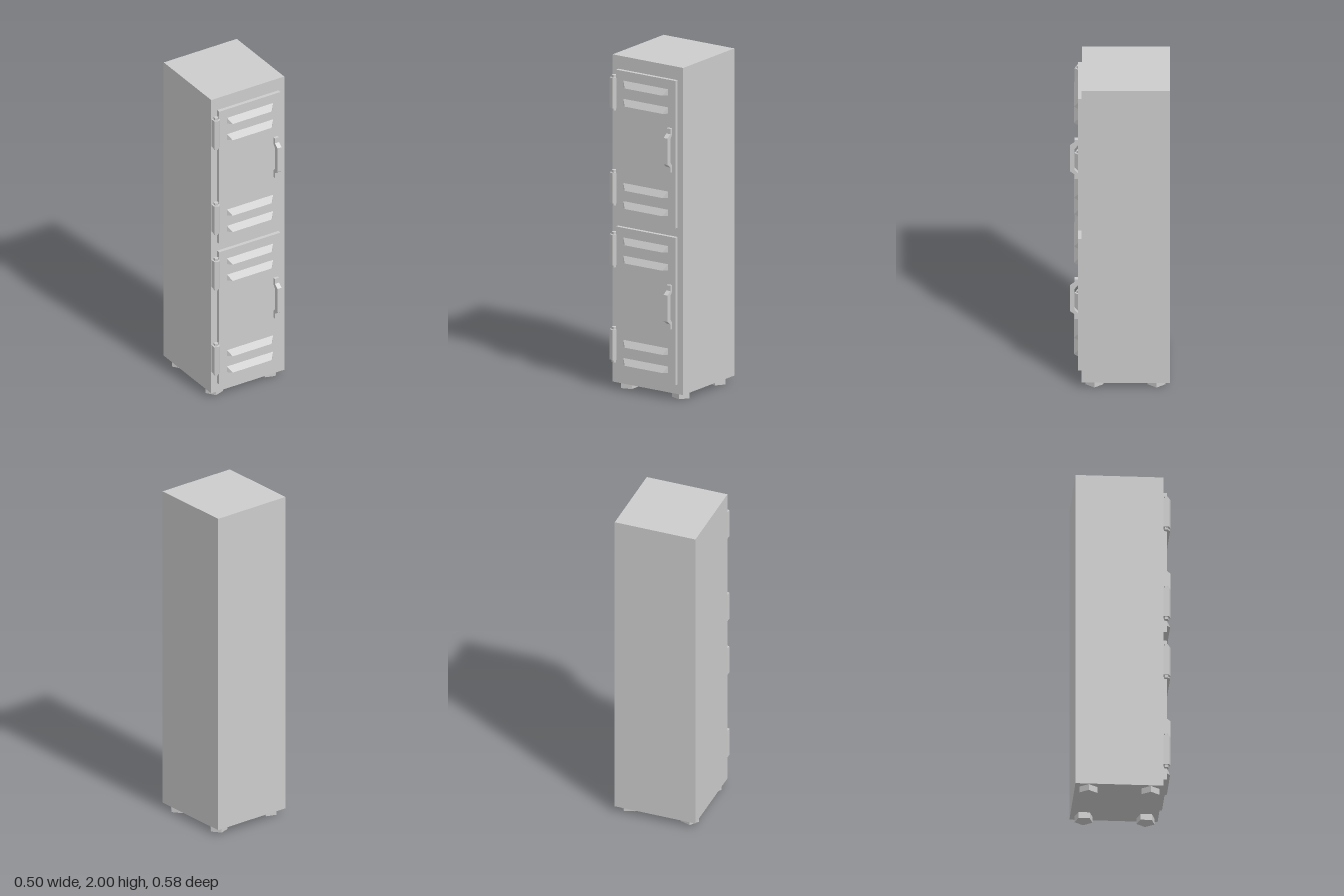
import * as THREE from 'three';
import { ConvexGeometry } from 'three/addons/geometries/ConvexGeometry.js';

const material = new THREE.MeshStandardMaterial({ color: 0xcccccc, flatShading: true });
const DOOR_FRONT = 0.243;

function addMesh(parent, name, geometry, x = 0, y = 0, z = 0) {
  const mesh = new THREE.Mesh(geometry, material);
  mesh.name = name;
  mesh.position.set(x, y, z);
  parent.add(mesh);
  return mesh;
}

// Wedge that leans out from the door towards its lower edge
function louverGeometry() {
  const points = [];
  for (const s of [-1, 1]) {
    points.push(
      new THREE.Vector3(s * 0.158, 0.019, 0),
      new THREE.Vector3(s * 0.158, -0.019, 0),
      new THREE.Vector3(s * 0.133, -0.019, 0.023)
    );
  }
  return new ConvexGeometry(points);
}

// Bent pull handle: side profile (depth, height) extruded across its width
function handleGeometry() {
  const upper = [[0, 0.132], [0.019, 0.132], [0.019, 0.1], [0.046, 0.079]];
  const inner = [[0.019, 0.068], [0, 0.093]];
  const flip = (list) => list.map(([z, y]) => [z, -y]).reverse();
  const outline = [...upper, ...flip(upper), ...flip(inner), ...inner];
  const shape = new THREE.Shape(outline.map(([z, y]) => new THREE.Vector2(z, y)));
  const geometry = new THREE.ExtrudeGeometry(shape, { depth: 0.028, bevelEnabled: false });
  return geometry.rotateY(-Math.PI / 2).translate(0.014, 0, 0);
}

// Five-sided hinge barrel with a thinner pin showing at both ends
function createHinge() {
  const hinge = new THREE.Group();
  hinge.name = 'hinge';
  const turn = THREE.MathUtils.degToRad(15);
  addMesh(hinge, 'hingeBarrel', new THREE.CylinderGeometry(0.026, 0.026, 0.182, 5, 1, false, turn));
  addMesh(hinge, 'hingePin', new THREE.CylinderGeometry(0.0145, 0.0145, 0.212, 5, 1, false, turn));
  return hinge;
}

// Door with louvers, handle and hinges, centred on its own height
function createDoor(name) {
  const door = new THREE.Group();
  door.name = name;
  addMesh(door, 'doorPanel', new THREE.BoxGeometry(0.42, 0.885, 0.043), 0, 0, DOOR_FRONT - 0.0215);
  for (const y of [0.366, 0.257, -0.248, -0.357]) {
    addMesh(door, 'louver', louverGeometry(), 0.001, y, DOOR_FRONT);
  }
  addMesh(door, 'handle', handleGeometry(), 0.174, 0.024, DOOR_FRONT);
  for (const y of [0.302, -0.268]) {
    const hinge = createHinge();
    hinge.position.set(-0.227, y, 0.237);
    door.add(hinge);
  }
  return door;
}

export function createModel() {
  const locker = new THREE.Group();
  locker.name = 'locker';

  // Cabinet
  addMesh(locker, 'cabinet', new THREE.BoxGeometry(0.5, 1.963, 0.51), 0, 1.0185, -0.035);

  // Two identical doors
  const upperDoor = createDoor('upperDoor');
  upperDoor.position.y = 1.478;
  const lowerDoor = createDoor('lowerDoor');
  lowerDoor.position.y = 0.537;
  locker.add(upperDoor, lowerDoor);

  // Five-sided feet, one corner pointing outwards
  for (const side of [-1, 1]) {
    for (const z of [0.147, -0.212]) {
      const geometry = new THREE.CylinderGeometry(0.055, 0.055, 0.037, 5, 1, false, side * Math.PI / 2);
      addMesh(locker, 'foot', geometry, side * 0.187, 0.0185, z);
    }
  }
  return locker;
}
